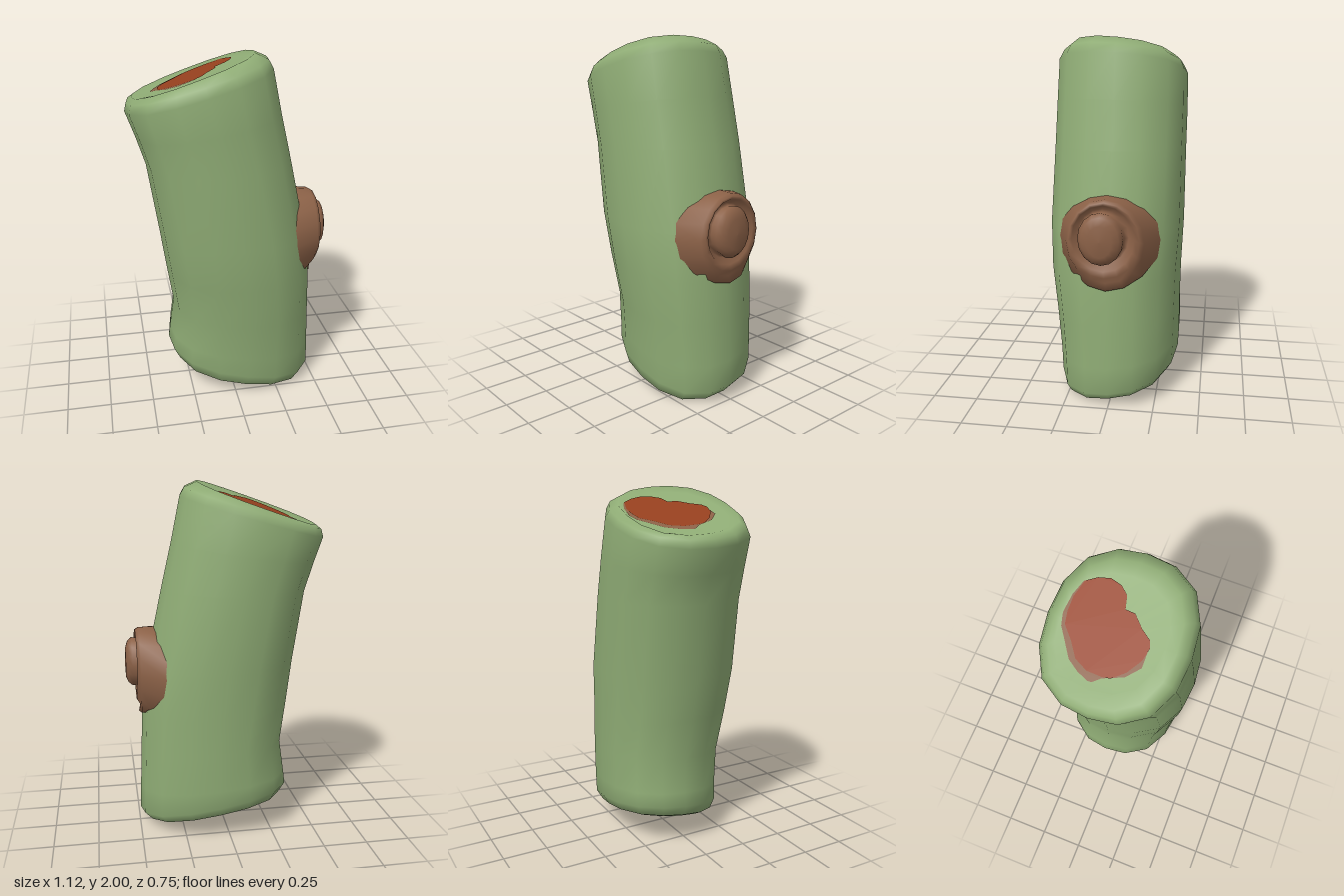
import * as THREE from 'three';

const SIDES = 16;
const mat = (name, color) => Object.assign(new THREE.MeshStandardMaterial({ color }), { name });

// Skin a list of closed rings; point(section, cos, sin) gives each corner.
function loft(sections, point) {
  const pos = [], idx = [];
  sections.forEach((s, i) => {
    for (let j = 0; j < SIDES; j++) {
      const a = (j / SIDES) * Math.PI * 2;
      pos.push(...point(s, Math.cos(a), Math.sin(a)));
      if (i === sections.length - 1) continue;
      const p = i * SIDES + j, q = i * SIDES + ((j + 1) % SIDES);
      idx.push(p, p + SIDES, q, q, p + SIDES, q + SIDES);
    }
  });
  const g = new THREE.BufferGeometry();
  g.setAttribute('position', new THREE.Float32BufferAttribute(pos, 3));
  g.setIndex(idx);
  g.computeVertexNormals();
  return g;
}

// Tilted, slightly squared trunk ring:
// left x,y, right x,y, centre z, z radius, y lean along z, skew
function trunkPoint([xl, yl, xr, yr, zc, rz, lean, skew], cos, sin) {
  const square = 1 + 0.065 * (2 * cos * sin) ** 2;
  const c = cos * square, s = sin * square;
  return [
    (xl + xr) / 2 + (c * (xr - xl)) / 2,
    (yl + yr) / 2 + (c * (yr - yl)) / 2 + s * lean,
    zc + rz * (s + skew * c),
  ];
}

// Stump ring facing +x: centre x, y, z, radius y, z
const stumpPoint = ([x, y, z, ry, rz], c, s) => [x, y + s * ry, z + c * rz];

// Foot of the stump's collar, sunk by a depth and following the trunk's curve
function collarPoint(depth, c, s) {
  const y = 0.945 + 0.25 * s;
  const z = 0.01 + 0.29 * c * (0.86 + 0.14 * c * c);
  const drop = 0.39 * (1 - Math.sqrt(1 - (z / 0.377) ** 2));
  return [0.453 - 0.14 * (y - 0.95) - drop - depth, y, z];
}

export function createModel() {
  const green = mat('mossGreen', 0x8fac75);
  const brown = mat('barkBrown', 0x8b6147);
  const red = mat('rustRed', 0x96401e);
  const group = new THREE.Group();
  const add = (name, geometry, material) => {
    const m = new THREE.Mesh(geometry, material);
    m.name = name;
    group.add(m);
  };

  // Leaning trunk with rounded, tilted ends and a shallow dish on top
  add('trunk', loft([
    [0.05, 0.085, 0.05, 0.085, 0.0, 0, 0, 0],
    [-0.2, 0.135, 0.3, 0.035, -0.01, 0.2, -0.032, 0.08],
    [-0.27, 0.15, 0.37, 0.022, -0.01, 0.26, -0.042, 0.08],
    [-0.33, 0.185, 0.45, 0.04, -0.02, 0.31, -0.045, 0.08],
    [-0.365, 0.25, 0.495, 0.09, -0.025, 0.333, -0.04, 0.08],
    [-0.355, 0.33, 0.49, 0.24, -0.025, 0.338, -0.03, 0.08],
    [-0.33, 0.52, 0.48, 0.48, -0.015, 0.348, -0.02, 0.06],
    [-0.365, 0.75, 0.47, 0.72, 0.0, 0.365, 0, 0.04],
    [-0.4, 1.0, 0.44, 0.98, 0.003, 0.377, 0, 0],
    [-0.46, 1.4, 0.345, 1.42, -0.003, 0.37, 0, 0],
    [-0.51, 1.56, 0.285, 1.68, -0.005, 0.368, 0.01, 0],
    [-0.56, 1.7, 0.235, 1.92, -0.005, 0.363, 0.02, 0],
    [-0.55, 1.745, 0.21, 1.965, -0.008, 0.34, 0.025, 0],
    [-0.52, 1.77, 0.14, 1.995, -0.012, 0.3, 0.03, 0],
    [-0.45, 1.775, 0.08, 1.96, -0.03, 0.26, 0.03, 0],
    [-0.185, 1.8675, -0.185, 1.8675, -0.03, 0, 0, 0],
  ], trunkPoint), green);

  // Cut branch on the side: collar, raised rim, groove and rounded core
  add('branchStump', loft([
    0.04,
    0,
    [0.48, 0.965, 0.012, 0.228, 0.207],
    [0.5, 0.975, 0.015, 0.205, 0.188],
    [0.498, 0.985, 0.02, 0.18, 0.165],
    [0.465, 0.99, 0.025, 0.15, 0.138],
    [0.48, 0.99, 0.028, 0.136, 0.12],
    [0.52, 0.99, 0.03, 0.142, 0.12],
    [0.543, 0.99, 0.03, 0.122, 0.1],
    [0.556, 0.985, 0.03, 0.085, 0.065],
    [0.56, 0.985, 0.03, 0, 0],
  ], (ring, c, s) => (Array.isArray(ring) ? stumpPoint : collarPoint)(ring, c, s)), brown);

  // Thin painted patches lying on the sloped top, outlined as x, z
  const patch = (outline, lift) => {
    const g = new THREE.ShapeGeometry(
      new THREE.Shape(outline.map(([x, z]) => new THREE.Vector2(x, -z))));
    g.rotateX(-Math.PI / 2);
    const p = g.attributes.position;
    for (let i = 0; i < p.count; i++) {
      const x = p.getX(i), z = p.getZ(i);
      p.setY(i, 1.8675 + ((x + 0.185) * 0.0925) / 0.265 + ((z + 0.03) * 0.03) / 0.26 + lift);
    }
    g.computeVertexNormals();
    return g;
  };
  add('patchRim', patch([
    [-0.415, -0.06], [-0.39, -0.12], [-0.35, -0.18], [-0.27, -0.235], [-0.22, -0.27],
    [-0.16, -0.285], [-0.07, -0.27], [0, -0.24], [0, -0.1], [-0.1, 0.02],
    [-0.2, 0.16], [-0.29, 0.16], [-0.35, 0.1], [-0.385, 0], [-0.415, -0.04],
  ], 0.003), brown);
  add('topPatch', patch([
    [-0.38, 0], [-0.375, -0.08], [-0.34, -0.15], [-0.27, -0.2], [-0.21, -0.255],
    [-0.15, -0.265], [-0.08, -0.262], [0, -0.235], [0.03, -0.18], [0.042, -0.12],
    [0.025, -0.06], [-0.01, -0.02], [-0.07, -0.005], [-0.075, 0.045], [-0.13, 0.1],
    [-0.165, 0.15], [-0.2, 0.165], [-0.26, 0.15], [-0.33, 0.1], [-0.375, 0.04],
  ], 0.006), red);

  return group;
}
